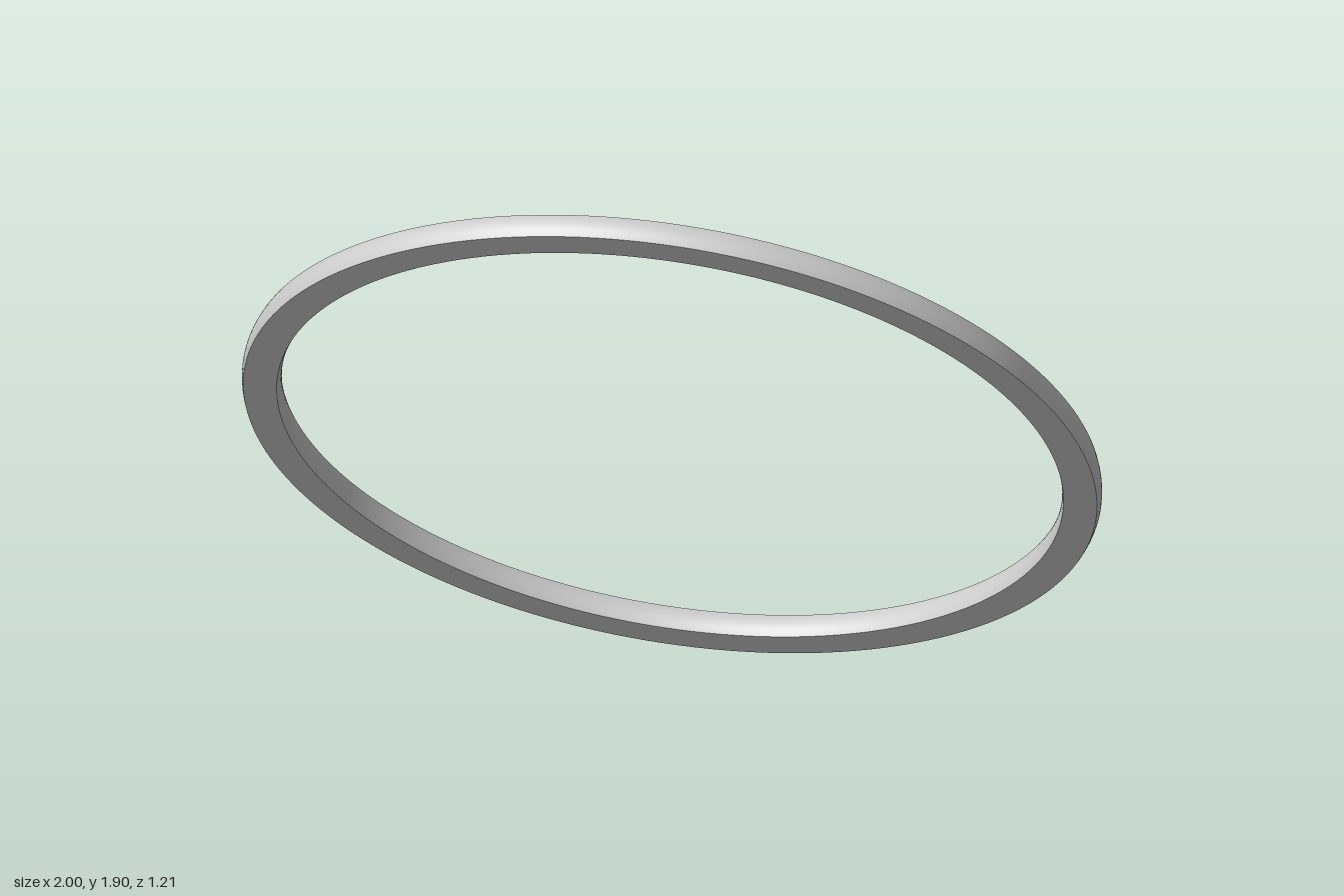
import * as THREE from 'three';

const OUTER = 1.046, INNER = 0.964, HALF = 0.03, BULGE = 0.007;

export function createModel() {
  const group = new THREE.Group();
  const material = new THREE.MeshStandardMaterial({ color: 0xcccccc });
  const ring = new THREE.Group();
  ring.name = 'ring';

  // Each surface is its own lathe, so the rims between them stay sharp.
  const surface = (name, points) => {
    const mesh = new THREE.Mesh(new THREE.LatheGeometry(points, 160), material);
    mesh.name = name;
    ring.add(mesh);
  };

  // Slightly crowned wall; direction is +1 for outside, -1 for inside.
  const wall = (radius, direction) => Array.from({ length: 9 }, (_, i) => {
    const t = i / 4 - 1;
    return new THREE.Vector2(radius + direction * BULGE * (1 - t * t), direction * t * HALF);
  });

  surface('outerWall', wall(OUTER, 1));
  surface('innerWall', wall(INNER, -1));
  surface('backFace', [new THREE.Vector2(OUTER, HALF), new THREE.Vector2(INNER, HALF)]);
  surface('frontFace', [new THREE.Vector2(INNER, -HALF), new THREE.Vector2(OUTER, -HALF)]);

  // Tilt the ring's axis and rest it on the ground.
  const axis = new THREE.Vector3(0.33, 0.444, -0.833).normalize();
  ring.quaternion.setFromUnitVectors(new THREE.Vector3(0, 1, 0), axis);
  ring.position.y = 0.953;
  group.add(ring);
  return group;
}
